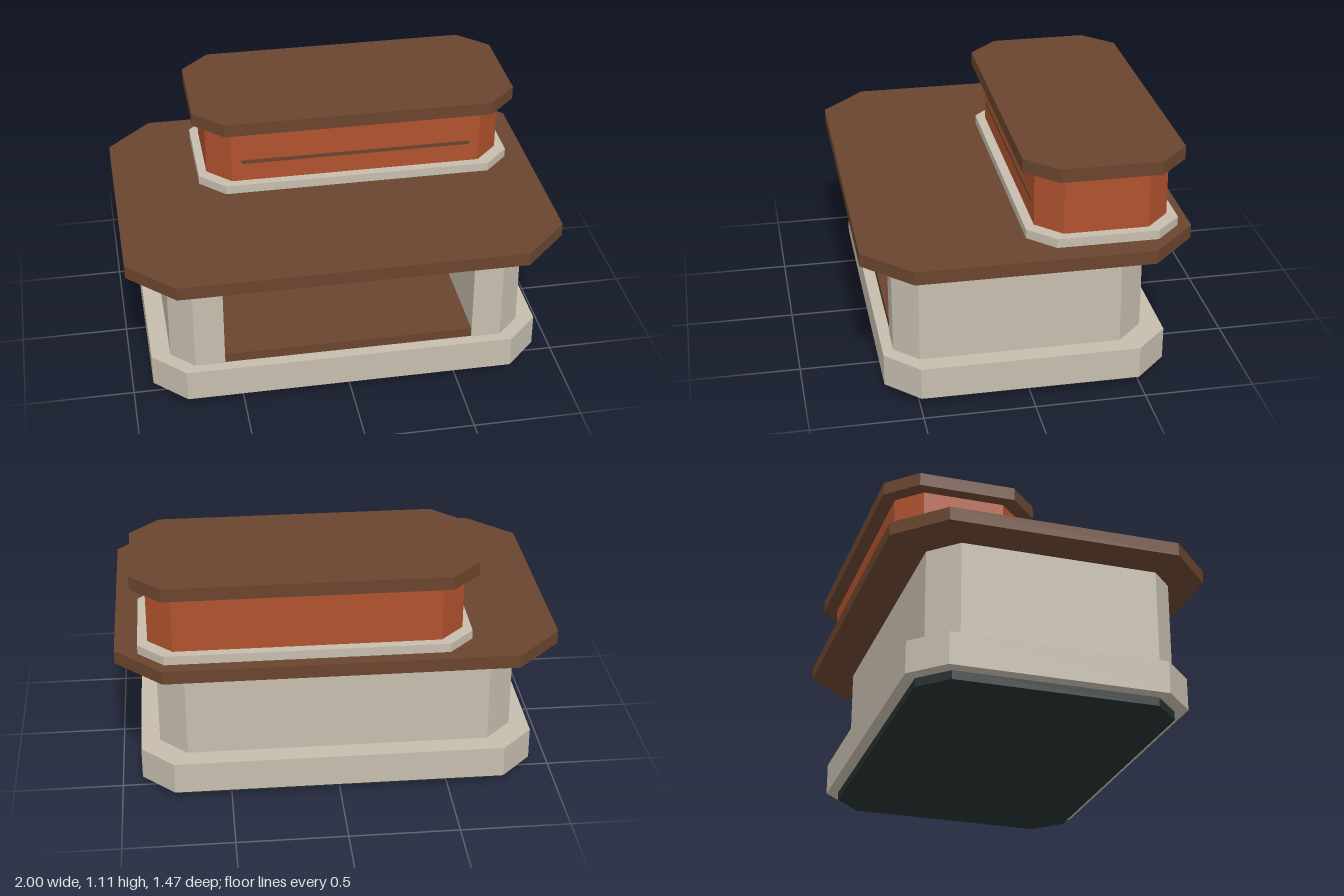
import * as THREE from 'three';

const mat = (name, color) => Object.assign(new THREE.MeshStandardMaterial({ color }), { name });

// Extrudes a plan outline of [x, z] points upward from y0 to y1.
function extrudePlan(points, y0, y1) {
  const shape = new THREE.Shape(points.map(([x, z]) => new THREE.Vector2(x, -z)));
  const geo = new THREE.ExtrudeGeometry(shape, { depth: y1 - y0, bevelEnabled: false });
  return geo.rotateX(-Math.PI / 2).translate(0, y0, 0);
}

// Rectangle in plan with cut corners, c at the back and cf at the front.
function cutRect(x0, x1, z0, z1, c, cf = c) {
  return [
    [x0 + cf, z1], [x1 - cf, z1], [x1, z1 - cf], [x1, z0 + c],
    [x1 - c, z0], [x0 + c, z0], [x0, z0 + c], [x0, z1 - cf],
  ];
}

export function createModel() {
  const stone = mat('stone', 0xc6bdae);
  const wood = mat('brown wood', 0x6a452e);
  const terracotta = mat('terracotta', 0xb0522e);
  const dark = mat('dark slate', 0x253131);

  const group = new THREE.Group();
  group.name = 'counter';
  const add = (name, geo, material) => {
    const mesh = new THREE.Mesh(geo, material);
    mesh.name = name;
    group.add(mesh);
  };
  const box = (x0, x1, y0, y1, z0, z1) =>
    new THREE.BoxGeometry(x1 - x0, y1 - y0, z1 - z0)
      .translate((x0 + x1) / 2, (y0 + y1) / 2, (z0 + z1) / 2);

  // Stacked base
  add('plinth', extrudePlan(cutRect(-0.85, 0.85, -0.59, 0.59, 0.125), 0, 0.04), dark);
  add('baseBand', extrudePlan(cutRect(-0.907, 0.907, -0.642, 0.642, 0.148), 0.04, 0.19), stone);

  // Body with a deep recess open to the front
  const recess = [[-0.578, 0.593], [-0.578, 0.04], [0.578, 0.04], [0.578, 0.593]];
  const outline = cutRect(-0.82, 0.82, -0.545, 0.593, 0.125, 0.105);
  outline.splice(1, 0, ...recess);
  add('body', extrudePlan(outline, 0.19, 0.666), stone);
  add('recessFloor', box(-0.578, 0.578, 0.19, 0.235, 0.04, 0.588), wood);
  add('recessBackPanel', box(-0.578, 0.578, 0.235, 0.666, 0.04, 0.048), dark);

  // Wide worktop
  add('worktop', extrudePlan(cutRect(-1, 1, -0.735, 0.735, 0.21), 0.666, 0.728), wood);

  // Raised cabinet, set back and off centre
  add('cabinetFoot', extrudePlan(cutRect(-0.6, 0.895, -0.675, 0.007, 0.115), 0.728, 0.77), stone);
  add('cabinet', extrudePlan(cutRect(-0.56, 0.85, -0.633, -0.036, 0.11), 0.77, 1.046), terracotta);
  add('cabinetStripe', box(-0.402, 0.692, 0.862, 0.879, -0.037, -0.031), wood);
  add('cabinetTop', extrudePlan(cutRect(-0.62, 0.915, -0.695, 0.025, 0.136), 1.046, 1.108), wood);

  return group;
}
